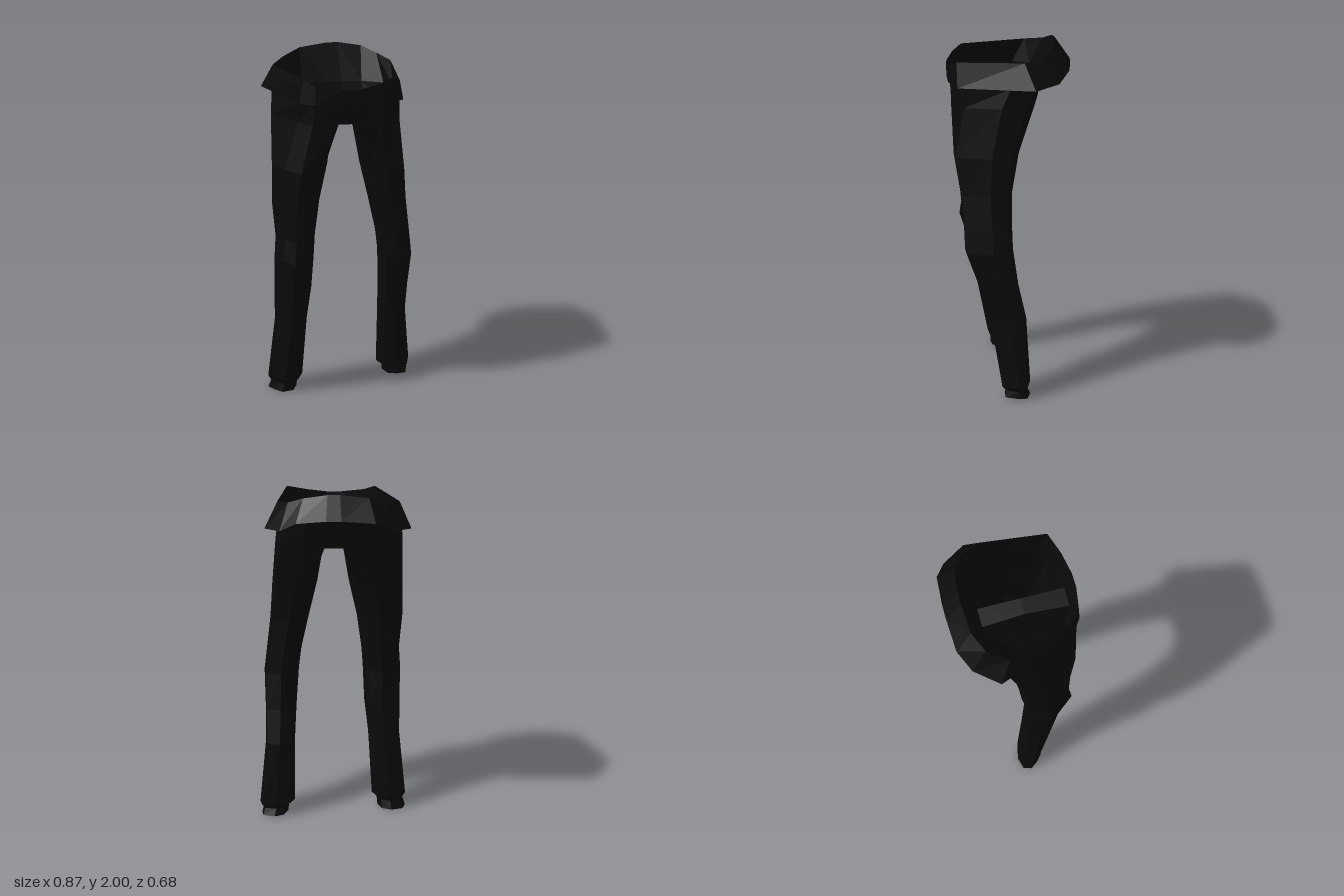
import * as THREE from 'three';

const cloth = new THREE.MeshStandardMaterial({
  color: 0x0a0a0a, flatShading: true, side: THREE.DoubleSide,
});

// Skin a list of cross-sections, ordered from bottom to top
function loft(name, rings, closed = true) {
  const n = rings[0].length, index = [];
  for (let i = 0; i < rings.length - 1; i++) {
    for (let j = 0; j < (closed ? n : n - 1); j++) {
      const a = i * n + j, b = i * n + (j + 1) % n;
      index.push(a, b, b + n, a, b + n, a + n);
    }
  }
  const geo = new THREE.BufferGeometry();
  geo.setAttribute('position', new THREE.Float32BufferAttribute(rings.flat(2), 3));
  geo.setIndex(index);
  geo.computeVertexNormals();
  const mesh = new THREE.Mesh(geo, cloth);
  mesh.name = name;
  return mesh;
}

// Half outlines run front centre -> side -> back centre: [share of half width, y, z]
const rim = { left: 0.3, right: 0.358, pts: [
  [0.12, 1.87, 0.34], [0.5, 1.89, 0.315], [0.87, 1.92, 0.27], [1, 1.925, -0.09],
  [0.8, 1.945, -0.195], [0.53, 1.98, -0.245], [0.1, 2, -0.255]] };
const beltHem = { left: 0.316, right: 0.36, pts: [
  [0.12, 1.795, 0.337], [0.5, 1.79, 0.322], [0.95, 1.79, 0.265], [1.17, 1.79, -0.15],
  [0.9, 1.81, -0.275], [0.62, 1.865, -0.33], [0.12, 1.88, -0.34]] };
const hip = { left: 0.305, right: 0.375, pts: [
  [0.13, 1.79, 0.325], [0.5, 1.79, 0.31], [0.93, 1.79, 0.25], [1, 1.79, -0.02],
  [0.88, 1.79, -0.12], [0.5, 1.79, -0.175], [0.13, 1.79, -0.185]] };
const seat = { left: 0.32, right: 0.387, pts: [
  [0.15, 1.68, 0.31], [0.5, 1.68, 0.308], [0.9, 1.68, 0.23], [1, 1.68, 0.03],
  [0.9, 1.68, -0.1], [0.5, 1.68, -0.15], [0.15, 1.68, -0.16]] };

// The right front corner (point 2) is cut back, as the hips are slightly turned
const half = (o, s) => o.pts.map(([f, y, z], i) => [
  s * f * (s > 0 ? o.left : o.right * (i === 2 ? 0.76 : 1)), y, z]);
const fullRing = (o) => [...half(o, 1), ...half(o, -1).reverse()];
const crotch = (s) => [s * 0.045, 1.685, 0.07];

// Leg section templates: [inner -1 .. outer 1, back -1 .. front 1]
const leftSection = [[-0.65, 0.8], [0, 1], [0.72, 0.92], [1, -0.2],
  [0.88, -0.8], [0, -1], [-0.65, -0.75], [-1, 0]];
const rightSection = [[-0.7, 0.8], [0.1, 1], [0.6, 0.5], [1, -0.1],
  [0.8, -0.75], [0, -1], [-0.7, -0.75], [-1, 0]];

// Leg sections, top to bottom: [y, inner x, outer x, back z, front z]
const leftLeg = [
  [1.41, 0.09, 0.345, -0.06, 0.295],
  [1.2, 0.14, 0.36, -0.025, 0.26], [1.0, 0.185, 0.385, -0.025, 0.24],
  [0.88, 0.2, 0.4, -0.03, 0.235], [0.67, 0.215, 0.395, -0.06, 0.16],
  [0.47, 0.225, 0.395, -0.105, 0.1], [0.08, 0.23, 0.435, -0.13, 0.035],
  [0.05, 0.265, 0.415, -0.11, 0.01], [0.01, 0.27, 0.425, -0.13, 0.015]];
const rightLeg = [
  [1.41, 0.09, 0.395, -0.06, 0.3],
  [1.2, 0.137, 0.4, -0.02, 0.275], [1.0, 0.165, 0.385, 0, 0.275],
  [0.88, 0.175, 0.395, 0.02, 0.295], [0.67, 0.185, 0.395, 0.005, 0.23],
  [0.47, 0.21, 0.395, -0.01, 0.2], [0.08, 0.235, 0.437, -0.035, 0.13],
  [0.05, 0.265, 0.42, -0.015, 0.11], [0, 0.27, 0.437, -0.035, 0.115]];

function leg(name, rows, section, s) {
  const rings = rows.map(([y, xi, xo, zb, zf]) => section.map(([u, v]) => [
    s * ((xi + xo) / 2 + u * (xo - xi) / 2), y, (zb + zf) / 2 + v * (zf - zb) / 2]));
  rings.unshift([...half(seat, s), crotch(s)]);
  if (s < 0) rings.forEach((r) => r.reverse());
  return loft(name, rings.reverse());
}

export function createModel() {
  const model = new THREE.Group();
  model.name = 'trousers';

  // Hips, open at the waist
  model.add(loft('hips', [seat, hip, rim].map(fullRing)));

  // Waistband, hugging the front and flaring out at the back
  model.add(loft('waistband', [beltHem, rim].map(fullRing)));

  // Legs with pinched cuffs, open at the ankles
  model.add(leg('leftLeg', leftLeg, leftSection, 1), leg('rightLeg', rightLeg, rightSection, -1));

  // Strip joining the legs at the crotch
  const l = half(seat, 1), r = half(seat, -1);
  model.add(loft('crotchStrip', [[r[0], l[0]], [crotch(-1), crotch(1)], [r[6], l[6]]], false));

  return model;
}
